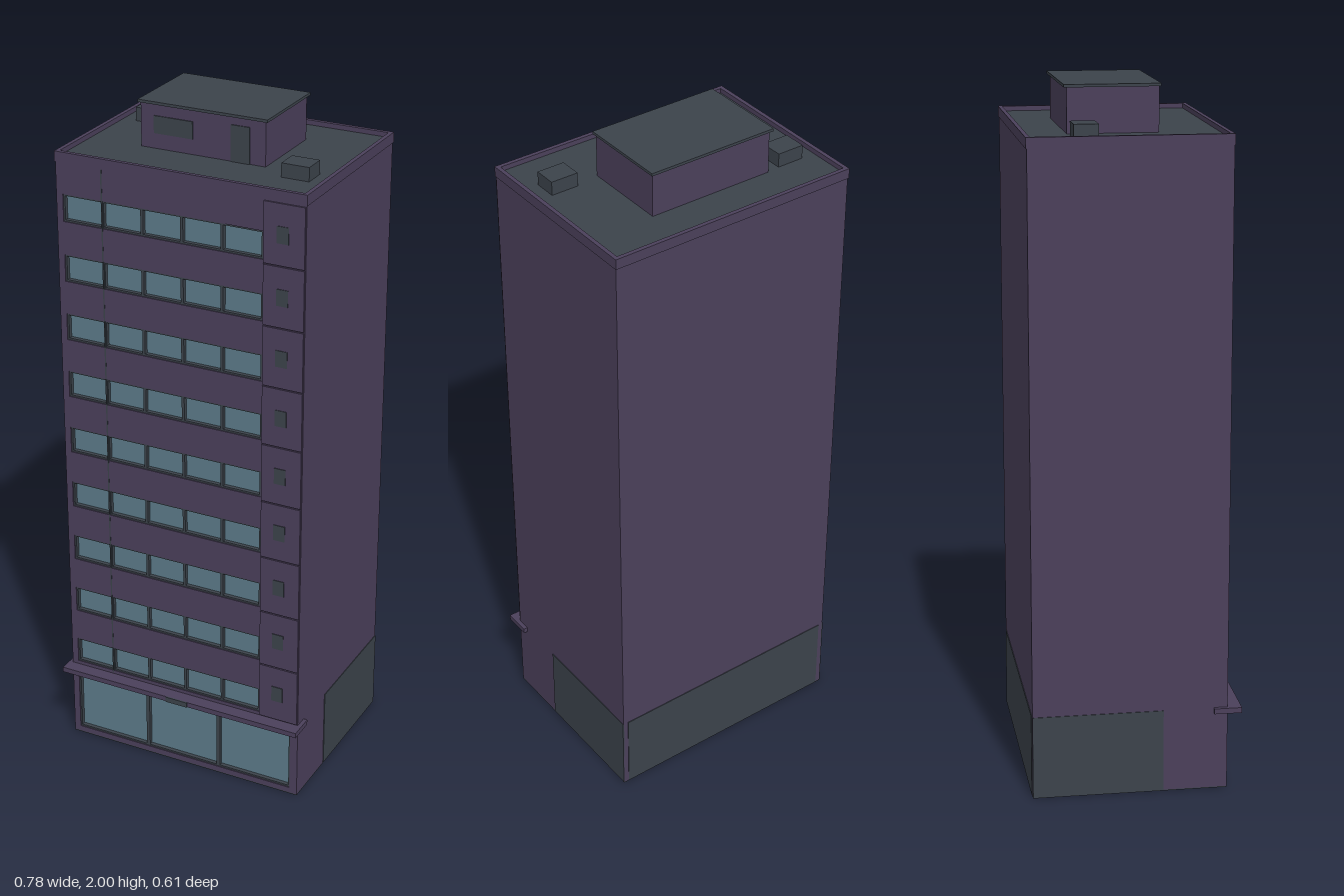
import * as THREE from 'three';

const mat = (name, color) => Object.assign(new THREE.MeshStandardMaterial({ color }), { name });

export function createModel() {
  const wall = mat('plumWall', 0x4b405b);
  const slate = mat('slateGrey', 0x3c434b);
  const glass = mat('blueGlass', 0x5c7b8a);
  const root = new THREE.Group();
  root.name = 'officeTower';

  const add = (name, geometry, material) => {
    const mesh = new THREE.Mesh(geometry, material);
    mesh.name = name;
    root.add(mesh);
    return mesh;
  };
  // box given by its extents on each axis
  const box = (name, material, x0, x1, y0, y1, z0, z1) => {
    add(name, new THREE.BoxGeometry(x1 - x0, y1 - y0, z1 - z0), material)
      .position.set((x0 + x1) / 2, (y0 + y1) / 2, (z0 + z1) / 2);
  };
  const trace = (path, [x0, x1, y0, y1]) => {
    path.moveTo(x0, y0);
    path.lineTo(x1, y0);
    path.lineTo(x1, y1);
    path.lineTo(x0, y1);
    path.closePath();
    return path;
  };
  // rectangular panel with rectangular openings
  const panel = (outer, holes, depth) => {
    const shape = trace(new THREE.Shape(), outer);
    shape.holes = holes.map((h) => trace(new THREE.Path(), h));
    return new THREE.ExtrudeGeometry(shape, { depth, bevelEnabled: false });
  };
  // recessed frame holding a row of equal panes
  const glazing = (name, [x0, x1, y0, y1], count, bar, rim) => {
    const w = (x1 - x0 - 2 * rim - bar * (count - 1)) / count;
    const panes = Array.from({ length: count }, (_, i) => {
      const left = x0 + rim + i * (w + bar);
      return [left, left + w, y0 + rim, y1 - rim];
    });
    add(name + 'Frame', panel([x0, x1, y0, y1], panes, 0.017), slate).position.z = 0.24;
    for (const [a, b, c, d] of panes) box(name + 'Pane', glass, a, b, c, d, 0.238, 0.245);
  };

  // main block and front wall with openings
  box('mainBlock', wall, -0.378, 0.378, 0.003, 1.86, -0.3, 0.24);
  box('bottomSlab', slate, -0.378, 0.378, 0, 0.003, -0.3, 0.26);
  const shopfront = [-0.358, 0.354, 0.02, 0.216];
  const rows = Array.from({ length: 9 }, (_, i) => {
    const y = 0.257 + i * 0.1777;
    return [-0.358, 0.252, y, y + 0.08];
  });
  add('frontWall', panel([-0.378, 0.378, 0.003, 1.86], [shopfront, ...rows], 0.02), wall).position.z = 0.24;
  glazing('shopfront', shopfront, 3, 0.011, 0.005);
  rows.forEach((row) => glazing('window', row, 5, 0.008, 0.005));

  // service column with one vent per floor
  rows.forEach(([, , y]) => {
    box('columnPanel', wall, 0.255, 0.376, y - 0.007, y + 0.167, 0.258, 0.265);
    box('vent', slate, 0.295, 0.33, y + 0.056, y + 0.104, 0.262, 0.267);
  });
  box('verticalJoint', slate, -0.238, -0.234, 0.25, 1.85, 0.237, 0.2605);

  // grey base cladding on the sides and back
  for (const s of [-1, 1]) {
    const x = s * 0.378;
    box('sideCladding', slate, x - 0.002, x + 0.002, 0.003, 0.245, -0.3, 0.075);
  }
  box('backCladding', slate, -0.362, 0.362, 0.003, 0.245, -0.302, -0.298);

  // entrance canopy
  box('canopy', wall, -0.39, 0.39, 0.23, 0.246, 0.22, 0.3);
  box('canopyPlate', slate, -0.035, 0.035, 0.23, 0.246, 0.298, 0.303);

  // roof deck and parapet
  box('roofDeck', slate, -0.37, 0.37, 1.858, 1.866, -0.292, 0.25);
  for (const s of [-1, 1]) {
    const x = s * 0.374;
    box('sideParapet', wall, x - 0.006, x + 0.006, 1.85, 1.88, -0.303, 0.262);
  }
  box('backParapet', wall, -0.368, 0.368, 1.85, 1.88, -0.303, -0.291);
  box('frontParapet', wall, -0.368, 0.368, 1.85, 1.88, 0.25, 0.262);

  // rooftop plant room and equipment boxes
  box('plantRoom', wall, -0.208, 0.172, 1.86, 1.992, -0.172, 0.083);
  box('plantRoomRoof', slate, -0.215, 0.179, 1.992, 2, -0.18, 0.088);
  box('plantRoomWindow', slate, -0.167, -0.048, 1.91, 1.96, 0.08, 0.086);
  box('plantRoomDoor', slate, 0.068, 0.125, 1.866, 1.97, 0.08, 0.086);
  box('roofUnit', slate, -0.327, -0.246, 1.86, 1.906, -0.168, -0.1);
  box('roofUnit', slate, 0.243, 0.325, 1.86, 1.906, 0.068, 0.135);

  return root;
}
